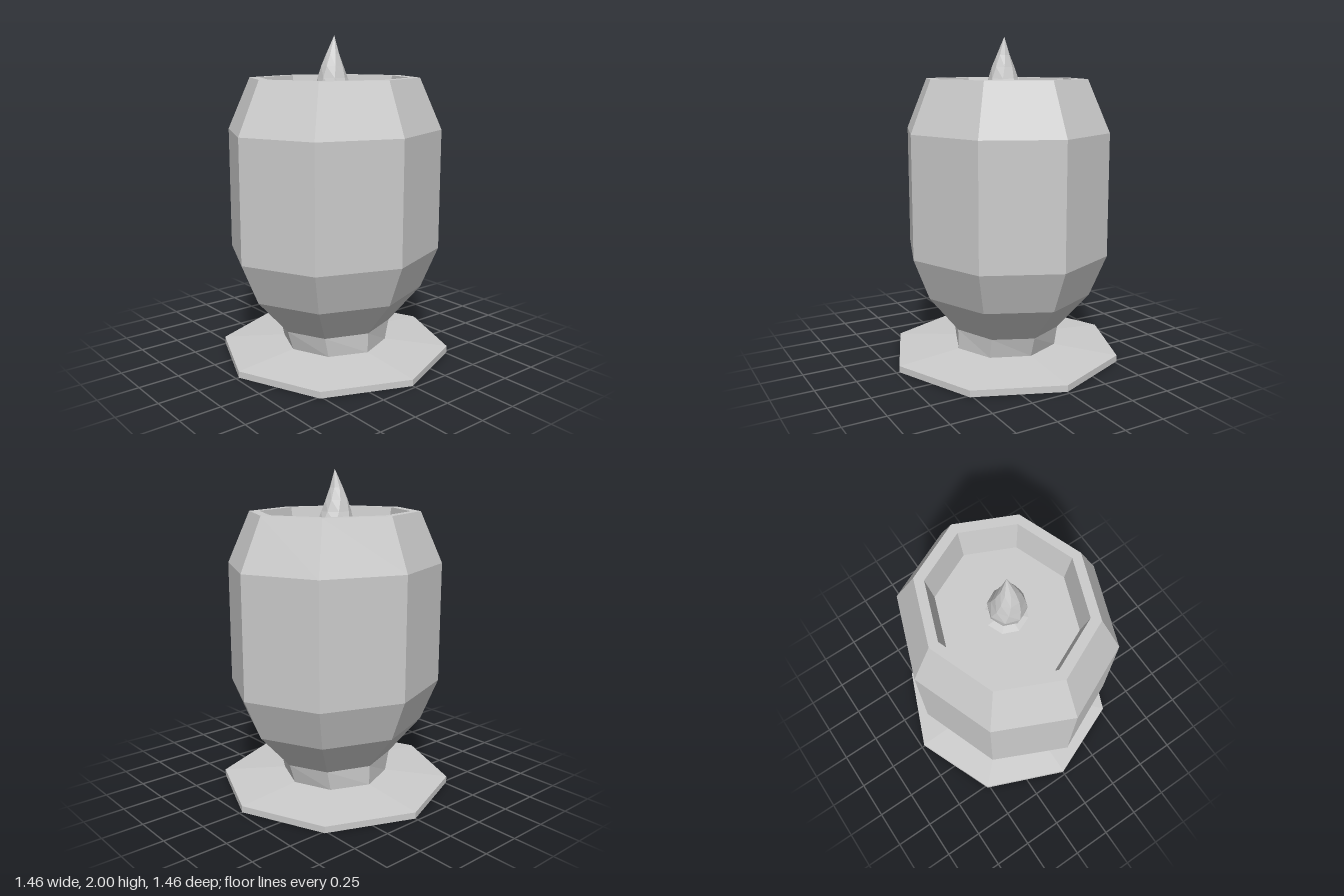
import * as THREE from 'three';

const SIDES = 8;

// Eight-sided turned part; profile is [radius, height] pairs.
function turned(name, profile, depthScale = () => 1) {
  const geo = new THREE.LatheGeometry(profile.map(([r, y]) => new THREE.Vector2(r, y)), SIDES);
  const pos = geo.attributes.position;
  for (let i = 0; i < pos.count; i++) pos.setZ(i, pos.getZ(i) * depthScale(pos.getY(i)));
  geo.computeVertexNormals();
  const mat = new THREE.MeshStandardMaterial({ color: 0xcccccc, flatShading: true });
  const mesh = new THREE.Mesh(geo, mat);
  mesh.name = name;
  return mesh;
}

// Flame swirls around its axis and leans slightly as it rises.
function twistFlame(mesh) {
  const pos = mesh.geometry.attributes.position;
  for (let i = 0; i < pos.count; i++) {
    const x = pos.getX(i), y = pos.getY(i), z = pos.getZ(i);
    const t = Math.max(0, (y - 1.64) / 0.36);
    const a = t * 0.8, lean = -0.06 * t * (1 - t);
    pos.setXYZ(i, x * Math.cos(a) + z * Math.sin(a) + lean, y, z * Math.cos(a) - x * Math.sin(a));
  }
  mesh.geometry.computeVertexNormals();
  return mesh;
}

export function createModel() {
  const group = new THREE.Group();
  group.name = 'candleHolder';

  // Flat octagonal foot with a gently sloping top
  group.add(turned('foot', [[0, 0], [0.73, 0], [0.73, 0.04], [0.33, 0.075], [0, 0.075]]));

  // Neck changes from a regular octagon to the slightly flattened bowl
  group.add(turned('neck', [[0.33, 0.075], [0.37, 0.2]], (y) => (y > 0.1 ? 0.9 : 1)));

  // Bowl: outer wall, rim, recessed inner wall and floor
  group.add(turned('bowl', [
    [0.37, 0.2], [0.58, 0.43], [0.692, 0.685], [0.692, 1.435], [0.547, 1.75],
    [0.482, 1.75], [0.44, 1.55], [0, 1.55],
  ], () => 0.9));

  // Low wax mound under the flame
  group.add(turned('waxMound', [[0.125, 1.55], [0.06, 1.565], [0, 1.565]]));

  // Flame
  group.add(twistFlame(turned('flame', [
    [0.065, 1.555], [0.105, 1.62], [0.112, 1.68], [0.092, 1.75], [0.07, 1.82], [0.042, 1.89], [0, 2],
  ])));

  return group;
}
